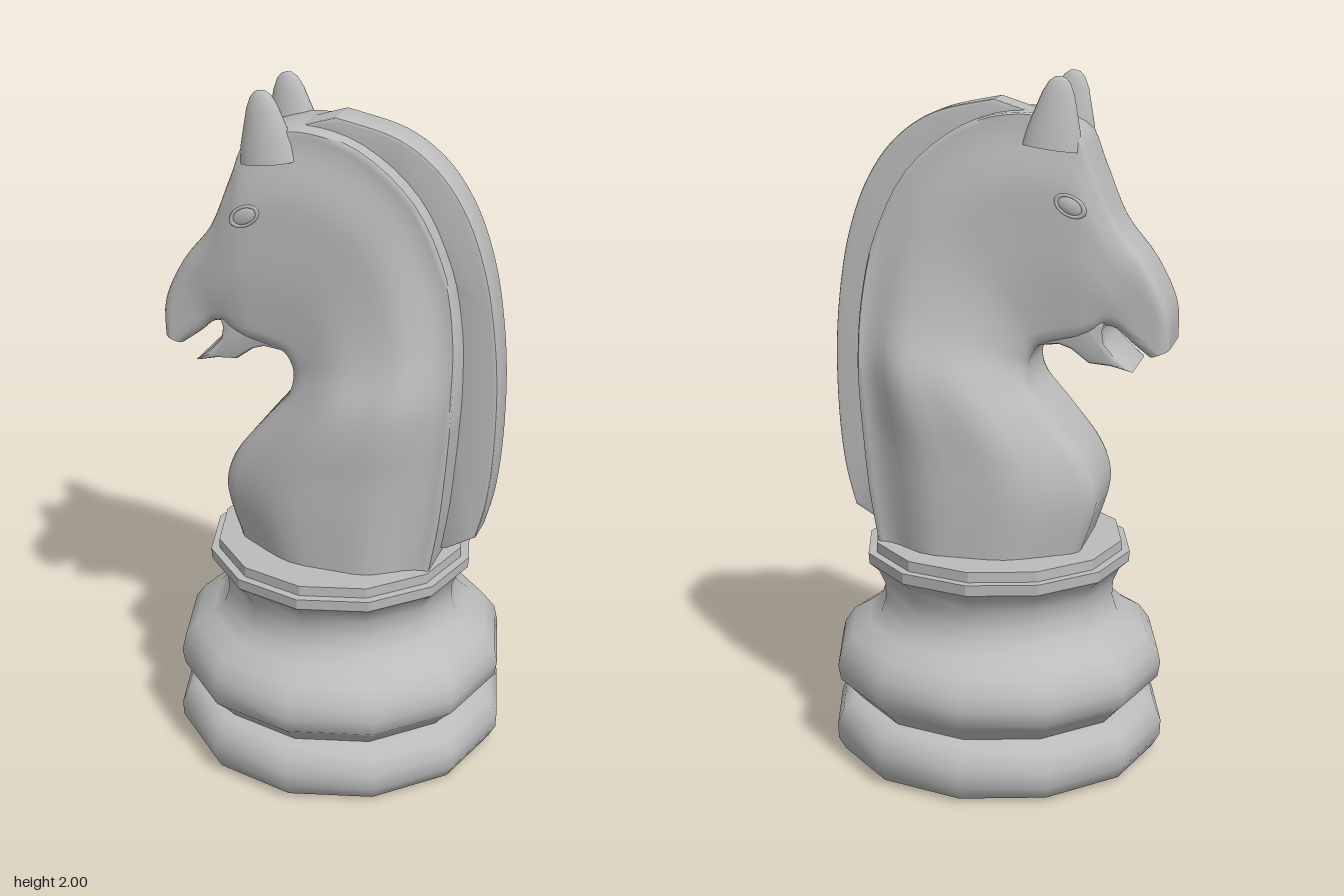
import * as THREE from 'three';
import { mergeVertices, toCreasedNormals } from 'three/addons/utils/BufferGeometryUtils.js';

const ivory = new THREE.MeshStandardMaterial({ color: 0xbcbcbc });
ivory.name = 'plain grey';

function part(name, geometry, crease) {
  const g = crease ? toCreasedNormals(geometry, crease) : geometry;
  const mesh = new THREE.Mesh(g, ivory);
  mesh.name = name;
  return mesh;
}

const pts = (list) => list.map(([x, y]) => new THREE.Vector2(x, y));
const smooth = THREE.MathUtils.smoothstep;
const lerp = THREE.MathUtils.lerp;

// Catmull-Rom blend of four numbers
function blend(a, b, c, d, t) {
  return 0.5 * (2 * b + (c - a) * t + (2 * a - 5 * b + 4 * c - d) * t * t + (3 * b - a - 3 * c + d) * t * t * t);
}

// Slices fanning round the throat: front x, y, back x, y, then half widths at front, middle, back
const slices = [
  [-0.27, 0.65, 0.32, 0.65, 0.13, 0.255, 0.17],
  [-0.315, 0.80, 0.345, 0.80, 0.13, 0.26, 0.17],
  [-0.29, 0.91, 0.36, 0.95, 0.13, 0.26, 0.17],
  [-0.20, 1.03, 0.37, 1.08, 0.13, 0.26, 0.17],
  [-0.125, 1.12, 0.375, 1.20, 0.13, 0.245, 0.165],
  [-0.11, 1.18, 0.37, 1.36, 0.12, 0.20, 0.14],
  [-0.12, 1.22, 0.335, 1.54, 0.12, 0.17, 0.12],
  [-0.14, 1.245, 0.24, 1.73, 0.12, 0.15, 0.115],
  [-0.17, 1.255, 0.08, 1.86, 0.12, 0.145, 0.11],
  [-0.21, 1.265, -0.09, 1.90, 0.12, 0.145, 0.11],
  [-0.25, 1.275, -0.235, 1.86, 0.12, 0.145, 0.12],
  [-0.29, 1.29, -0.29, 1.75, 0.115, 0.14, 0.12],
  [-0.325, 1.31, -0.355, 1.60, 0.11, 0.13, 0.115],
  [-0.36, 1.305, -0.445, 1.485, 0.11, 0.115, 0.11],
  [-0.40, 1.27, -0.505, 1.36, 0.11, 0.11, 0.11],
  [-0.455, 1.228, -0.51, 1.25, 0.11, 0.11, 0.11],
];

function neckAndHead() {
  const pos = [], index = [], N = 18, SUB = 4, ring = 2 * (N + 1);
  const last = slices.length - 1, rows = last * SUB;
  // drop in width that rounds an edge of radius r at distance d from it
  const round = (d, r) => {
    const t = 1 - Math.min(1, d / r);
    return r * (1 - Math.sqrt(1 - t * t));
  };
  for (let i = 0; i <= rows; i++) {
    const k = Math.min(Math.floor(i / SUB), last - 1), t = i / SUB - k;
    const s = slices[k].map((v, c) => blend(
      slices[Math.max(k - 1, 0)][c], v, slices[k + 1][c], slices[Math.min(k + 2, last)][c], t));
    const [fx, fy, bx, by, wf, wm, wb] = s;
    const len = Math.hypot(bx - fx, by - fy);
    const rBack = lerp(0.004, 0.03, smooth(i / SUB, 8, 11));
    for (let j = 0; j < ring; j++) {
      const side = j <= N ? 1 : -1;
      const u = (1 - Math.cos(Math.PI * (side > 0 ? j : ring - 1 - j) / N)) / 2;
      let w = lerp(lerp(wf, wm, smooth(u, -0.1, 0.4)), wb, smooth(u, 0.68, 0.97));
      w -= round(u * len, 0.03) + round((1 - u) * len, rBack);
      pos.push(lerp(fx, bx, u), lerp(fy, by, u), side * w);
    }
  }
  for (let i = 0; i < rows; i++) {
    for (let j = 0; j < ring; j++) {
      const a = i * ring + j, b = i * ring + (j + 1) % ring;
      index.push(a, b, a + ring, b, b + ring, a + ring);
    }
  }
  // close the lip
  const c = pos.length / 3;
  pos.push(-0.4825, 1.239, 0);
  for (let j = 0; j < ring; j++) index.push(c, rows * ring + j, rows * ring + (j + 1) % ring);
  const g = new THREE.BufferGeometry();
  g.setAttribute('position', new THREE.Float32BufferAttribute(pos, 3));
  g.setIndex(index);
  return g;
}

// Side outline extruded evenly about z = 0
function slab(shape, halfWidth, bevel) {
  const g = new THREE.ExtrudeGeometry(shape, {
    depth: 2 * (halfWidth - bevel), bevelEnabled: true, bevelSize: bevel, bevelOffset: -bevel,
    bevelThickness: bevel, bevelSegments: 2, curveSegments: 8,
  });
  g.translate(0, 0, -(halfWidth - bevel));
  return g;
}

export function createModel() {
  const model = new THREE.Group();
  model.name = 'chessKnight';

  // Turned twelve-sided base
  const foot = pts([[0, 0], [0.44, 0], [0.475, 0.012], [0.496, 0.05], [0.498, 0.095], [0.48, 0.14], [0.45, 0.163], [0.42, 0.168]]);
  const band = pts([[0.42, 0.168], [0.458, 0.21]]);
  const bulge = pts([[0.458, 0.21], [0.485, 0.235], [0.493, 0.28], [0.483, 0.325], [0.45, 0.37], [0.395, 0.402],
    [0.36, 0.435], [0.345, 0.48], [0.347, 0.525], [0.365, 0.565], [0.393, 0.59]]);
  const rim = pts([[0.393, 0.59], [0.395, 0.622], [0.37, 0.622], [0.37, 0.652], [0, 0.652]]);
  model.add(part('foot', new THREE.LatheGeometry(foot, 12), 0.8));
  model.add(part('grooveBand', new THREE.LatheGeometry(band, 12)));
  model.add(part('baseBulge', new THREE.LatheGeometry(bulge, 12)));
  model.add(part('collarRim', new THREE.LatheGeometry(rim, 12), 0.4));

  // Neck and head in one sweep
  model.add(part('neckAndHead', mergeVertices(neckAndHead()), 0.8));

  // Lower jaw, leaving the mouth open
  const jaw = new THREE.Shape(pts([[-0.16, 1.32], [-0.14, 1.25], [-0.2, 1.255], [-0.235, 1.243], [-0.285, 1.205],
    [-0.345, 1.2], [-0.41, 1.185], [-0.36, 1.23], [-0.33, 1.265], [-0.325, 1.3], [-0.335, 1.33], [-0.25, 1.36]]));
  model.add(part('lowerJaw', slab(jaw, 0.112, 0.012), 0.7));

  // Mane crest along the back of the neck
  const mane = new THREE.Shape();
  mane.moveTo(0.3, 0.66);
  mane.lineTo(0.34, 0.67);
  mane.lineTo(0.425, 0.72);
  mane.splineThru(pts([[0.455, 0.84], [0.472, 1.0], [0.475, 1.2], [0.46, 1.38], [0.43, 1.54], [0.375, 1.69],
    [0.29, 1.81], [0.17, 1.89], [0, 1.93]]));
  mane.lineTo(-0.11, 1.895);
  mane.lineTo(-0.05, 1.8);
  mane.quadraticCurveTo(0.26, 1.7, 0.3, 1.2);
  model.add(part('mane', slab(mane, 0.055, 0.008), 0.6));

  // Ears and eyes, mirrored
  const earProfile = pts([[0.085, 0], [0.075, 0.05], [0.06, 0.1], [0.045, 0.15], [0.03, 0.18], [0.015, 0.193], [0, 0.196]]);
  for (const side of [1, -1]) {
    const name = side > 0 ? 'left' : 'right';
    const ear = part(name + 'Ear', new THREE.LatheGeometry(earProfile, 20));
    ear.scale.set(1, 1, 0.6);
    ear.position.set(-0.175, 1.805, side * 0.102);
    ear.rotation.z = 0.12;
    model.add(ear);

    const eye = new THREE.Group();
    eye.name = name + 'Eye';
    eye.add(part('eyelid', new THREE.TorusGeometry(0.042, 0.008, 8, 28)));
    const ball = part('eyeball', new THREE.SphereGeometry(0.04, 20, 12));
    ball.scale.z = 0.25;
    eye.add(ball);
    eye.scale.set(1, 0.6, 1);
    eye.position.set(-0.235, 1.653, side * 0.141);
    eye.rotation.z = 0.5;
    model.add(eye);
  }
  return model;
}
